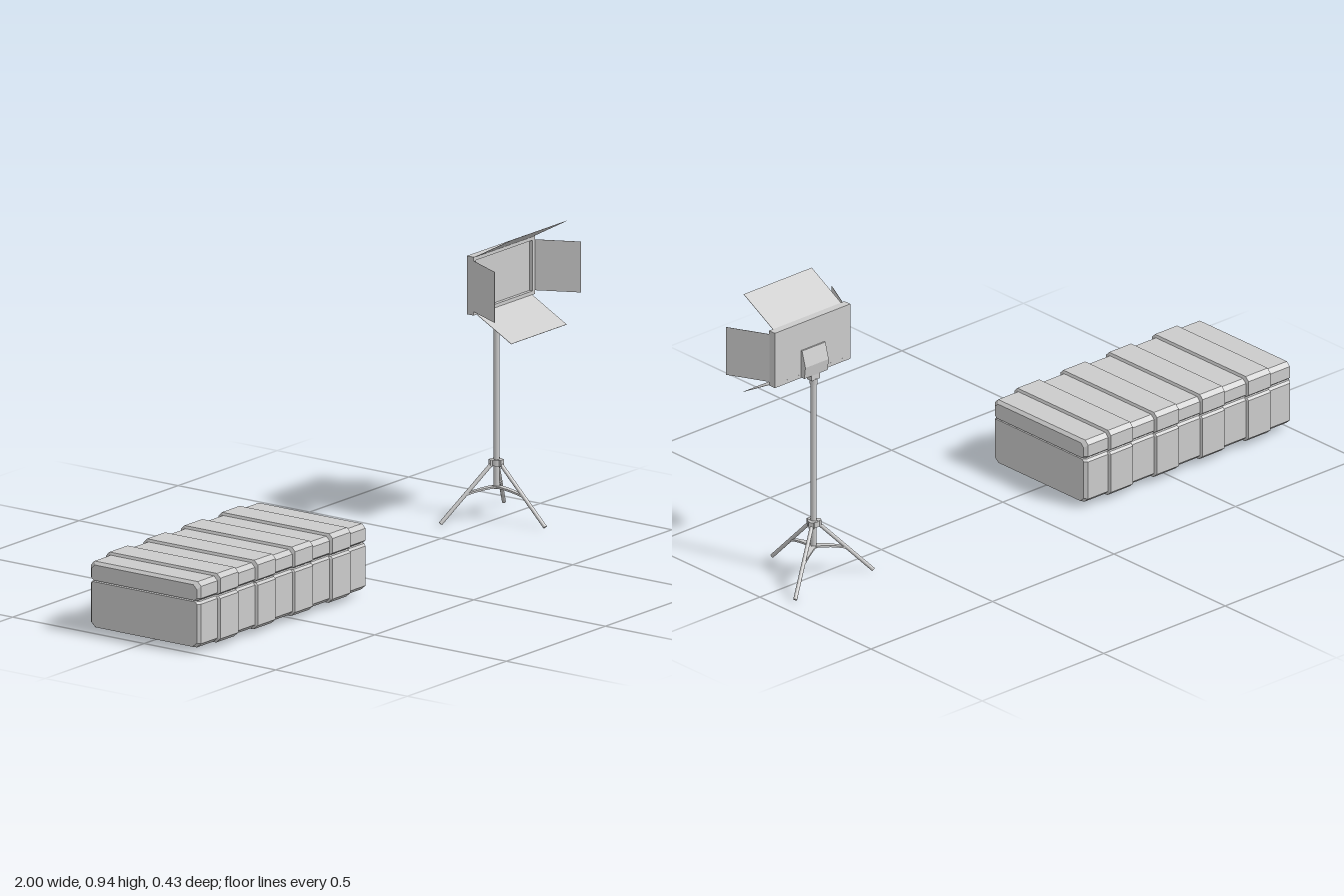
import * as THREE from 'three';

const grey = new THREE.MeshStandardMaterial({ color: 0xcccccc });
const flat = new THREE.MeshStandardMaterial({ color: 0xcccccc, flatShading: true });
const thin = new THREE.MeshStandardMaterial({ color: 0xcccccc, side: THREE.DoubleSide });

function add(parent, name, geometry, x = 0, y = 0, z = 0, material = grey) {
  const mesh = new THREE.Mesh(geometry, material);
  mesh.name = name;
  mesh.position.set(x, y, z);
  parent.add(mesh);
  return mesh;
}

// Closed skin through rings of equal point count, ordered along +x
function loft(rings) {
  const n = rings[0].length, index = [];
  for (let i = 0; i < rings.length - 1; i++) {
    for (let j = 0; j < n; j++) {
      const a = i * n + j, b = i * n + (j + 1) % n, c = b + n, d = a + n;
      index.push(a, d, c, a, c, b);
    }
  }
  const end = (rings.length - 1) * n;
  for (let j = 1; j < n - 1; j++) {
    index.push(0, j, j + 1, end, end + j + 1, end + j);
  }
  const g = new THREE.BufferGeometry();
  g.setAttribute('position', new THREE.Float32BufferAttribute(rings.flat(2), 3));
  g.setIndex(index);
  const out = g.toNonIndexed();
  out.computeVertexNormals();
  return out;
}

// Round bar between two points
function bar(parent, name, from, to, radius) {
  const dir = to.clone().sub(from);
  const mesh = add(parent, name, new THREE.CylinderGeometry(radius, radius, dir.length(), 12));
  mesh.position.copy(from).add(to).multiplyScalar(0.5);
  mesh.quaternion.setFromUnitVectors(new THREE.Vector3(0, 1, 0), dir.normalize());
}

function buildCase() {
  const group = new THREE.Group();
  group.name = 'case';
  const x0 = -1, x1 = -0.15, bands = 9, slope = 0.002, bevel = 0.01;
  const step = (x1 - x0) / bands;

  // [x, inset] stations: raised bands alternate with lower ones, ends bevelled
  const stations = [[x0, 0.017], [x0 + bevel, 0.008]];
  for (let i = 1; i < bands; i++) {
    const x = x0 + i * step, up = i % 2 === 1;
    stations.push([x - slope, up ? 0.008 : 0], [x + slope, up ? 0 : 0.008]);
  }
  stations.push([x1 - bevel, 0.008], [x1, 0.017]);

  // Right half profiles [z, y, share of the inset taken by y]
  const lid = [[0.208, 0.168, 0], [0.217, 0.175, 0], [0.217, 0.221, -1], [0.204, 0.234, -1]];
  const base = [[0.201, 0.016, 0.3], [0.217, 0.03, 0.3], [0.217, 0.157, 0], [0.21, 0.164, 0]];
  const shell = half => loft(stations.map(([x, d]) => {
    const right = half.map(([z, y, k]) => [x, y + k * d, z - d]);
    const left = right.map(([px, y, z]) => [px, y, -z]).reverse();
    return [...right, ...left];
  }));
  add(group, 'caseLid', shell(lid), 0, 0, 0, flat);
  add(group, 'caseBase', shell(base), 0, 0, 0, flat);
  add(group, 'caseSeam', new THREE.BoxGeometry(0.82, 0.02, 0.385), (x0 + x1) / 2, 0.166, 0);
  return group;
}

function buildStand() {
  const group = new THREE.Group();
  group.name = 'tripodStand';
  add(group, 'pole', new THREE.CylinderGeometry(0.0095, 0.0095, 0.55, 20), 0, 0.375, 0);
  add(group, 'hub', new THREE.CylinderGeometry(0.018, 0.018, 0.018, 20), 0, 0.18, 0);
  add(group, 'lowerCollar', new THREE.CylinderGeometry(0.012, 0.012, 0.008, 20), 0, 0.102, 0);

  // Curved brace plate, wide at the pole and narrow at the leg
  const section = t => {
    const r = 0.105 * t, y = 0.103 - 0.016 * t * t, w = 0.011 - 0.006 * t;
    return [[r, y - 0.003, w], [r, y + 0.003, w], [r, y + 0.003, -w], [r, y - 0.003, -w]];
  };
  const brace = loft([0, 0.25, 0.5, 0.75, 1].map(section));

  for (let i = 0; i < 3; i++) {
    const leg = new THREE.Group();
    leg.name = 'legAssembly' + (i + 1);
    leg.rotation.y = -Math.PI / 2 + i * Math.PI * 2 / 3;
    bar(leg, 'leg', new THREE.Vector3(0.01, 0.182, 0), new THREE.Vector3(0.185, 0.005, 0), 0.0062);
    add(leg, 'legBracket', new THREE.BoxGeometry(0.016, 0.02, 0.016), 0.015, 0.18, 0);
    add(leg, 'brace', brace, 0, 0, 0, flat);
    group.add(leg);
  }
  return group;
}

function buildLamp() {
  const group = new THREE.Group();
  group.name = 'lampHead';
  const w = 0.31, h = 0.184, cy = 0.772;

  // Housing with a recessed front panel
  const rect = (target, a, b) => {
    target.moveTo(-a, -b);
    target.lineTo(a, -b);
    target.lineTo(a, b);
    target.lineTo(-a, b);
    target.closePath();
    return target;
  };
  const frame = rect(new THREE.Shape(), w / 2, h / 2);
  frame.holes.push(rect(new THREE.Path(), w / 2 - 0.012, h / 2 - 0.012));
  add(group, 'housingFrame', new THREE.ExtrudeGeometry(frame, { depth: 0.026, bevelEnabled: false }), 0, cy, 0.004);
  add(group, 'lightPanel', new THREE.BoxGeometry(w - 0.02, h - 0.02, 0.014), 0, cy, 0.0111);

  // Four hinged flaps: top, left, bottom, right
  for (let i = 0; i < 4; i++) {
    const side = i % 2 === 1;
    const width = side ? 0.16 : 0.28, length = side ? 0.145 : 0.153;
    const flap = new THREE.BoxGeometry(width, 0.0012, length);
    flap.translate(0, 0, length / 2);
    flap.rotateX(-(side ? 0.46 : 0.5));
    flap.translate(0, (side ? w : h) / 2 - 0.002, 0.027);
    flap.rotateZ(-i * Math.PI / 2);
    add(group, ['topFlap', 'leftFlap', 'bottomFlap', 'rightFlap'][i], flap, 0, cy, 0, thin);
  }

  // Wedge-shaped rear mount and its collar on the pole
  const wedge = [[0.005, 0.682], [-0.011, 0.682], [-0.016, 0.72], [-0.001, 0.772], [0.005, 0.772]];
  const ring = x => wedge.map(([z, y]) => [x, y, z]).reverse();
  add(group, 'rearMount', loft([ring(-0.048), ring(0.048)]), 0, 0, 0, flat);
  add(group, 'mountNeck', new THREE.BoxGeometry(0.034, 0.022, 0.02), 0, 0.675, 0);
  add(group, 'mountCollar', new THREE.CylinderGeometry(0.0125, 0.0115, 0.02, 20), 0, 0.656, 0);
  return group;
}

export function createModel() {
  const model = new THREE.Group();
  const light = new THREE.Group();
  light.name = 'standLight';
  light.position.x = 0.779;
  light.add(buildStand(), buildLamp());
  model.add(buildCase(), light);
  return model;
}
